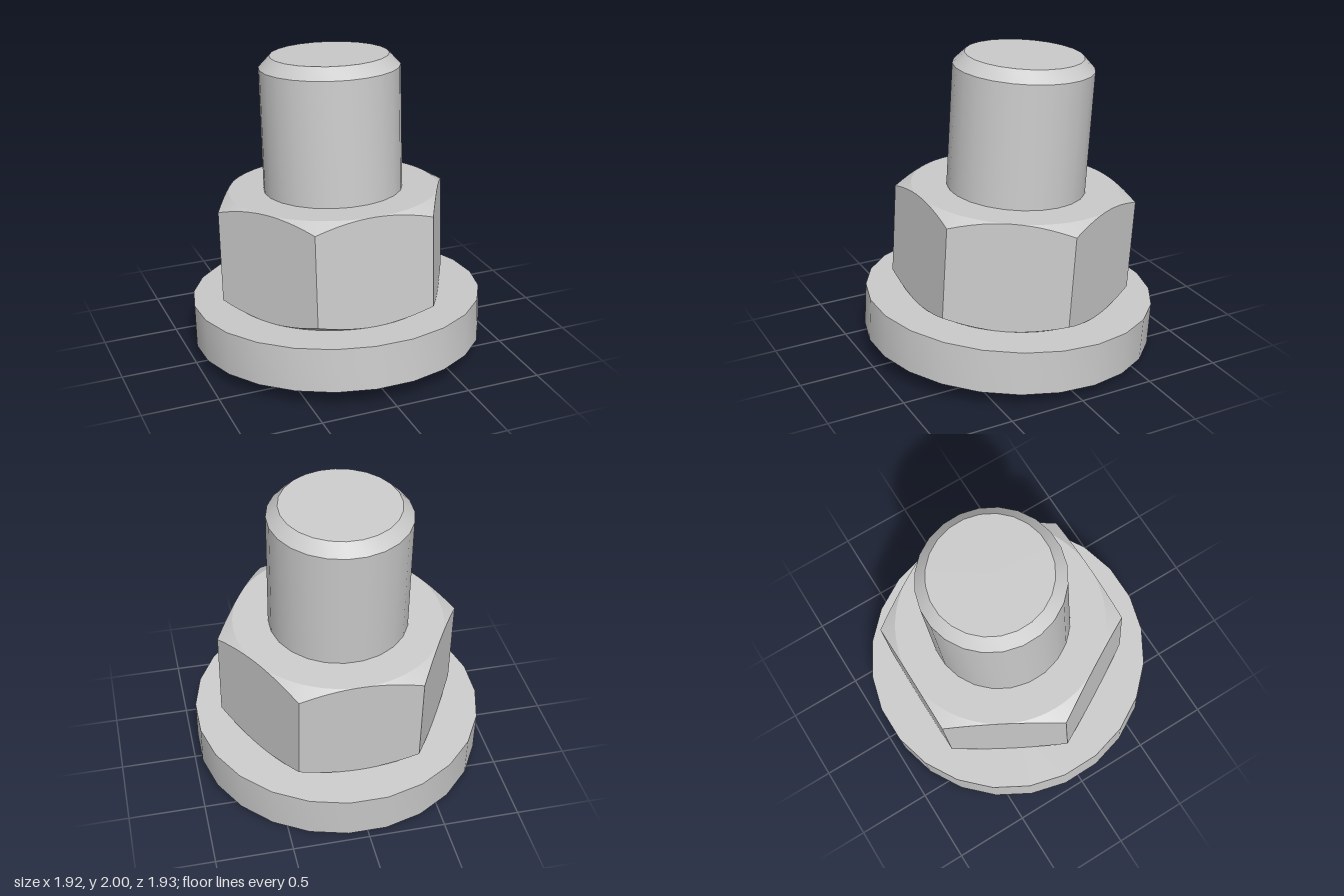
import * as THREE from 'three';
import { toCreasedNormals } from 'three/addons/utils/BufferGeometryUtils.js';

const SIDES = 24;
const material = new THREE.MeshStandardMaterial({ color: 0xcccccc });

function addPart(group, name, geometry) {
  const mesh = new THREE.Mesh(toCreasedNormals(geometry, 0.4), material);
  mesh.name = name;
  group.add(mesh);
}

// Turned part from [radius, height] pairs, with a flat facing the front
function turned(profile) {
  const points = profile.map(([r, y]) => new THREE.Vector2(r, y));
  return new THREE.LatheGeometry(points, SIDES, Math.PI / SIDES);
}

// Hexagonal nut with a bore; the corners are cut by a 30 degree chamfer cone
function hexNut(apothem, bore, y0, y1) {
  const profile = [[bore, y0], [apothem, y0], [1, y0], [1, y1], [apothem, y1], [bore, y1], [bore, y0]];
  const geometry = new THREE.LatheGeometry(profile.map(([r, y]) => new THREE.Vector2(r, y)), 72);
  const pos = geometry.attributes.position;
  for (let i = 0; i < pos.count; i++) {
    const row = i % profile.length;
    if (row !== 2 && row !== 3) continue;
    // Push the outer rows onto the hexagon and lower them along the cone
    const angle = Math.atan2(pos.getX(i), pos.getZ(i));
    const step = Math.PI / 3;
    const r = apothem / Math.cos(angle - Math.round(angle / step) * step);
    const drop = (r - apothem) * Math.tan(Math.PI / 6);
    pos.setXYZ(i, r * Math.sin(angle), row === 2 ? y0 + drop : y1 - drop, r * Math.cos(angle));
  }
  return geometry;
}

export function createModel() {
  const model = new THREE.Group();
  model.name = 'boltAssembly';

  // The whole assembly leans slightly backwards
  const assembly = new THREE.Group();
  assembly.name = 'tiltedAssembly';
  assembly.rotation.x = THREE.MathUtils.degToRad(-4);
  assembly.position.set(0, 0.069, 0.0125);
  model.add(assembly);

  // Flat washer with a wide hole
  addPart(assembly, 'washer', turned([[0.605, 0], [0.966, 0], [0.966, 0.29], [0.605, 0.29], [0.605, 0]]));

  // Nut resting on the washer
  addPart(assembly, 'nut', hexNut(0.689, 0.455, 0.29, 1.02));

  // Rod through both, chamfered at the top
  addPart(assembly, 'rod', turned([[0, 0], [0.458, 0], [0.458, 1.835], [0.385, 1.91], [0, 1.91]]));

  return model;
}
